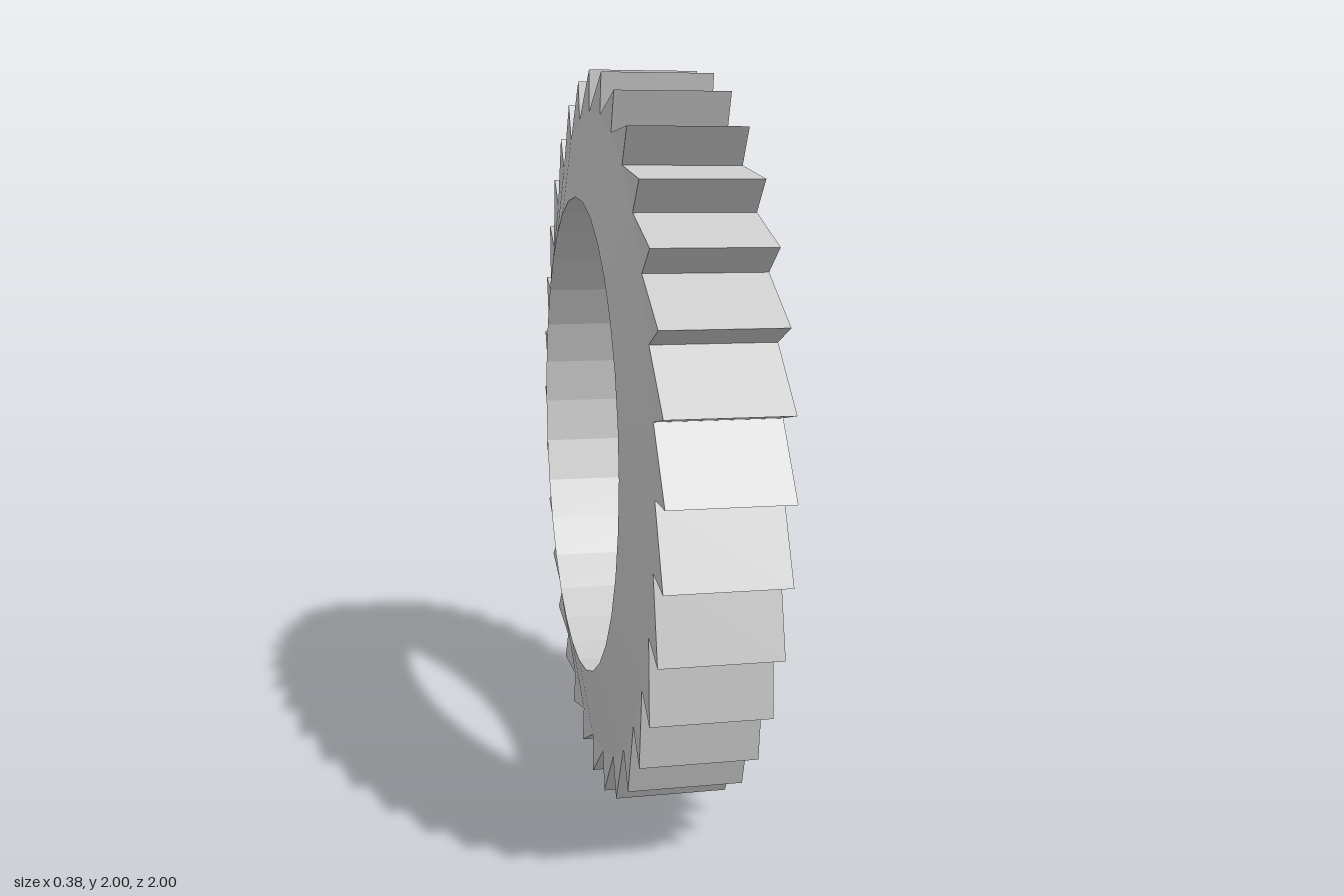
import * as THREE from 'three';

const TEETH = 32;
const TIP = 1.0, ROOT = 0.89, BORE = 0.66; // radii
const RIM_X = 0.15, BORE_X = 0.19;         // half widths at the rim and at the bore

// Point on the wheel: step counts tooth pitches round the x axis
function point(radius, step, x) {
  const a = (step / TEETH) * Math.PI * 2;
  return [x, radius * Math.cos(a), -radius * Math.sin(a)];
}

function makeMesh(name, faces) {
  const positions = [];
  for (const f of faces) {
    for (let k = 1; k < f.length - 1; k++) positions.push(...f[0], ...f[k], ...f[k + 1]);
  }
  const geometry = new THREE.BufferGeometry();
  geometry.setAttribute('position', new THREE.Float32BufferAttribute(positions, 3));
  geometry.computeVertexNormals();
  const mesh = new THREE.Mesh(geometry, new THREE.MeshStandardMaterial({ color: 0xcccccc, flatShading: true }));
  mesh.name = name;
  mesh.position.y = 1;
  return mesh;
}

export function createModel() {
  const ring = [], teeth = [];
  for (let i = 0; i < TEETH; i++) {
    const j = i + 1;

    // Sloping side of the ring and flat side of the tooth, mirrored in x
    for (const s of [1, -1]) {
      const side = [point(BORE, i, s * BORE_X), point(BORE, j, s * BORE_X),
        point(ROOT, j, s * RIM_X), point(ROOT, i, s * RIM_X)];
      const cheek = [point(ROOT, i, s * RIM_X), point(ROOT, j, s * RIM_X), point(TIP, i, s * RIM_X)];
      ring.push(s > 0 ? side : side.reverse());
      teeth.push(s > 0 ? cheek : cheek.reverse());
    }

    // Bore wall
    ring.push([point(BORE, i, BORE_X), point(BORE, i, -BORE_X), point(BORE, j, -BORE_X), point(BORE, j, BORE_X)]);

    // Long sloping back of the tooth, then its radial front
    teeth.push([point(TIP, i, RIM_X), point(ROOT, j, RIM_X), point(ROOT, j, -RIM_X), point(TIP, i, -RIM_X)]);
    teeth.push([point(ROOT, i, -RIM_X), point(ROOT, i, RIM_X), point(TIP, i, RIM_X), point(TIP, i, -RIM_X)]);
  }

  const group = new THREE.Group();
  group.name = 'ratchetWheel';
  group.add(makeMesh('ring', ring), makeMesh('teeth', teeth));
  return group;
}
